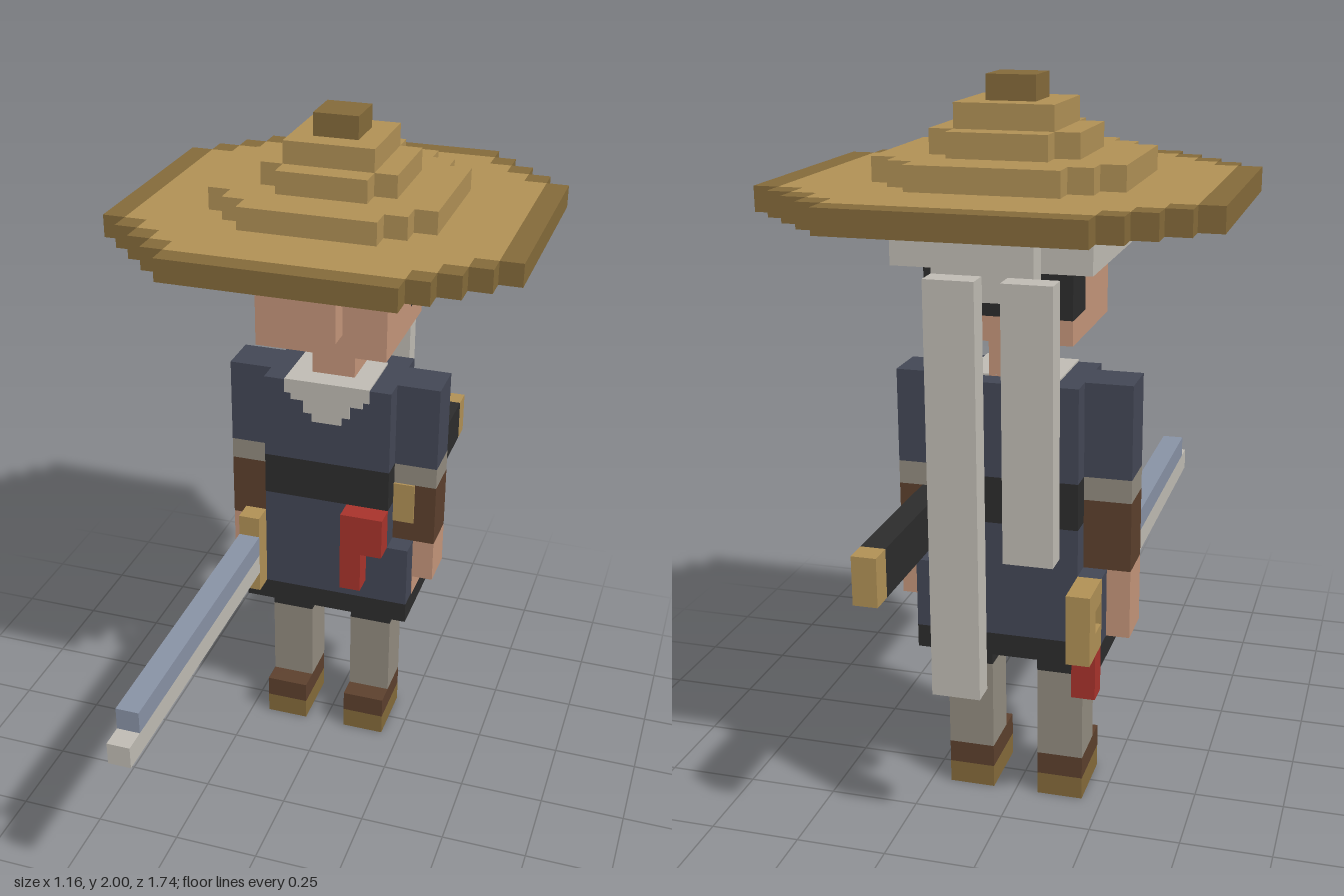
import * as THREE from 'three';

// One voxel; every coordinate below is counted in voxels.
const U = 2 / 31;

const mat = (name, color) => Object.assign(new THREE.MeshStandardMaterial({ color }), { name });
const M = {
  straw: mat('straw', 0xb09055),
  darkStraw: mat('darkStraw', 0x846a3a),
  cloth: mat('paleCloth', 0xbfbbb3),
  grey: mat('warmGrey', 0x928b7f),
  skin: mat('skin', 0xc4957a),
  navy: mat('navy', 0x434755),
  black: mat('black', 0x2c2c2c),
  leather: mat('leather', 0x5c402d),
  red: mat('red', 0xa8332b),
  steel: mat('steel', 0x8892a5),
};

// Stepped octagon outline from the corners of its +x +y quadrant.
function steppedPath(corners, PathType) {
  const q = [];
  corners.forEach(([x, y], i) => {
    q.push([x, y]);
    if (i < corners.length - 1) q.push([x, corners[i + 1][1]]);
  });
  const r = [...q].reverse();
  const pts = [
    ...q,
    ...r.map(([x, y]) => [x, -y]),
    ...q.map(([x, y]) => [-x, -y]),
    ...r.map(([x, y]) => [-x, y]),
  ];
  return new PathType(pts.map(([x, y]) => new THREE.Vector2(x, y)));
}

export function createModel() {
  const model = new THREE.Group();
  model.name = 'swordsman';

  const group = (name) => {
    const g = new THREE.Group();
    g.name = name;
    model.add(g);
    return g;
  };

  // Box given by its ranges along x, y and z.
  const box = (parent, name, material, [x0, x1], [y0, y1], [z0, z1]) => {
    const geo = new THREE.BoxGeometry((x1 - x0) * U, (y1 - y0) * U, (z1 - z0) * U);
    const mesh = new THREE.Mesh(geo, material);
    mesh.position.set((x0 + x1) / 2 * U, (y0 + y1) / 2 * U, (z0 + z1) / 2 * U);
    mesh.name = name;
    parent.add(mesh);
  };

  // One-voxel-high stepped layer of the hat, with an optional hole.
  const layer = (parent, name, material, y, corners, hole) => {
    const shape = steppedPath(corners, THREE.Shape);
    if (hole) shape.holes.push(steppedPath(hole, THREE.Path));
    const geo = new THREE.ExtrudeGeometry(shape, { depth: 1, bevelEnabled: false });
    geo.rotateX(-Math.PI / 2).scale(U, U, U);
    const mesh = new THREE.Mesh(geo, material);
    mesh.position.set(0, y * U, -4.5 * U);
    mesh.name = name;
    parent.add(mesh);
  };

  // Straw hat
  const hat = group('hat');
  const inner = [[5, 8], [6, 7], [7, 6], [8, 5]];
  layer(hat, 'brimEdge', M.darkStraw, 26, [[5, 9], [6, 8], [7, 7], [8, 6], [9, 5]], inner);
  layer(hat, 'brim', M.straw, 26, inner);
  layer(hat, 'crownLower', M.straw, 27, [[3, 5], [4, 4], [5, 3]]);
  layer(hat, 'crownMiddle', M.straw, 28, [[2, 3], [3, 2]]);
  layer(hat, 'crownUpper', M.straw, 29, [[2, 2]]);
  layer(hat, 'hatTip', M.darkStraw, 30, [[1, 1]]);

  // Head
  const head = group('head');
  box(head, 'jaw', M.skin, [-3, 3], [21, 22], [-7.5, -1.5]);
  box(head, 'face', M.skin, [-3, 3], [22, 24], [-5.5, -1.5]);
  box(head, 'nose', M.skin, [-1, 1], [22, 24], [-1.5, -0.5]);
  box(head, 'hair', M.black, [-3, 3], [22, 24], [-7.5, -5.5]);
  box(head, 'neck', M.skin, [-1, 1], [19, 21], [-5.5, -3.5]);

  // Headband with knot and two hanging tails
  const band = group('headband');
  box(band, 'bandSides', M.cloth, [-4, 4], [24, 26], [-8.5, -1.5]);
  box(band, 'bandFront', M.cloth, [-3, 3], [25, 26], [-1.5, -0.5]);
  box(band, 'bandFold', M.grey, [-3, 3], [24, 25], [-1.5, -0.5]);
  box(band, 'knot', M.cloth, [-2, 2], [23, 26], [-9.5, -8.5]);
  box(band, 'longTail', M.cloth, [0, 2], [7, 24], [-10.5, -9.5]);
  box(band, 'shortTail', M.cloth, [-3, -1], [13, 24], [-10.5, -9.5]);

  // Robe
  const robe = group('robe');
  const bodyZ = [-6.5, -2.5];
  box(robe, 'chest', M.navy, [-3, 3], [15, 19], bodyZ);
  box(robe, 'sash', M.black, [-3, 3], [13, 15], bodyZ);
  box(robe, 'skirtUpper', M.navy, [-3, 3], [11, 13], bodyZ);
  box(robe, 'skirtLower', M.navy, [-4, 4], [8, 11], bodyZ);
  box(robe, 'hem', M.black, [-4, 4], [7, 8], bodyZ);

  // Collar, a thin plate over the chest and shoulders
  [[2, 18.4, 19], [1.7, 18.1, 18.4], [1.1, 17.5, 18.1], [0.7, 17.1, 17.5]].forEach(([w, y0, y1]) =>
    box(robe, 'collarFront', M.cloth, [-w, w], [y0, y1], [-2.5, -2.42]));
  box(robe, 'collarTop', M.cloth, [-2, 2], [19, 19.08], [-5.5, -2.42]);

  // Arms and legs
  for (const s of [1, -1]) {
    const side = s > 0 ? 'left' : 'right';
    const span = (a, b) => (s > 0 ? [a, b] : [-b, -a]);
    const limbZ = [-5.5, -3.5];

    const arm = group(side + 'Arm');
    box(arm, 'sleeve', M.navy, span(3, 5), [15, 19], limbZ);
    box(arm, 'cuff', M.grey, span(3, 5), [14, 15], limbZ);
    box(arm, 'bracer', M.leather, span(3, 5), [11, 14], limbZ);
    box(arm, 'hand', M.skin, span(3, 5), [s > 0 ? 9 : 8, 11], limbZ);
    if (s > 0) box(arm, 'fingers', M.skin, [3, 4.04], [8, 9], limbZ);

    const leg = group(side + 'Leg');
    box(leg, 'shorts', M.black, span(1, 3), [6, 7], limbZ);
    box(leg, 'legging', M.grey, span(1, 3), [2, 6], limbZ);
    box(leg, 'shoe', M.leather, span(1, 3), [1, 2], [-5.5, -2.5]);
    box(leg, 'sole', M.darkStraw, span(1, 3), [0, 1], [-5.5, -2.5]);
  }

  // Sword in the right hand, with ring pommel and tassel
  const sword = group('sword');
  const sx = [-4, -3];
  box(sword, 'guard', M.straw, sx, [8, 12], [-2.5, -1.5]);
  box(sword, 'bladeBack', M.steel, sx, [10, 11], [-1.5, 12.5]);
  box(sword, 'bladeEdge', M.cloth, sx, [9, 10], [-1.5, 13.5]);
  box(sword, 'pommelTop', M.straw, sx, [10, 11], [-8.5, -6.5]);
  box(sword, 'pommelBottom', M.straw, sx, [8, 9], [-8.5, -6.5]);
  box(sword, 'pommelBack', M.straw, sx, [9, 10], [-8.5, -7.5]);
  box(sword, 'pommelFront', M.straw, sx, [8, 11], [-6.52, -6.4]);
  box(sword, 'tassel', M.red, sx, [6, 8], [-7.5, -6.5]);

  // Scabbard on the left hip
  const scabbard = group('scabbard');
  box(scabbard, 'scabbardMouth', M.straw, [3, 4], [12, 14], [-3.5, -3.4]);
  box(scabbard, 'scabbardBody', M.black, [3, 4], [12, 14], [-12.5, -5.5]);
  box(scabbard, 'scabbardTip', M.straw, [3, 4], [12, 14], [-13.5, -12.5]);

  // Red sash knot
  const knot = group('sashKnot');
  box(knot, 'knotTop', M.red, [1, 3], [11, 13], [-2.5, -1.5]);
  box(knot, 'knotTail', M.red, [1, 2], [9, 11], [-2.5, -1.5]);

  return model;
}
